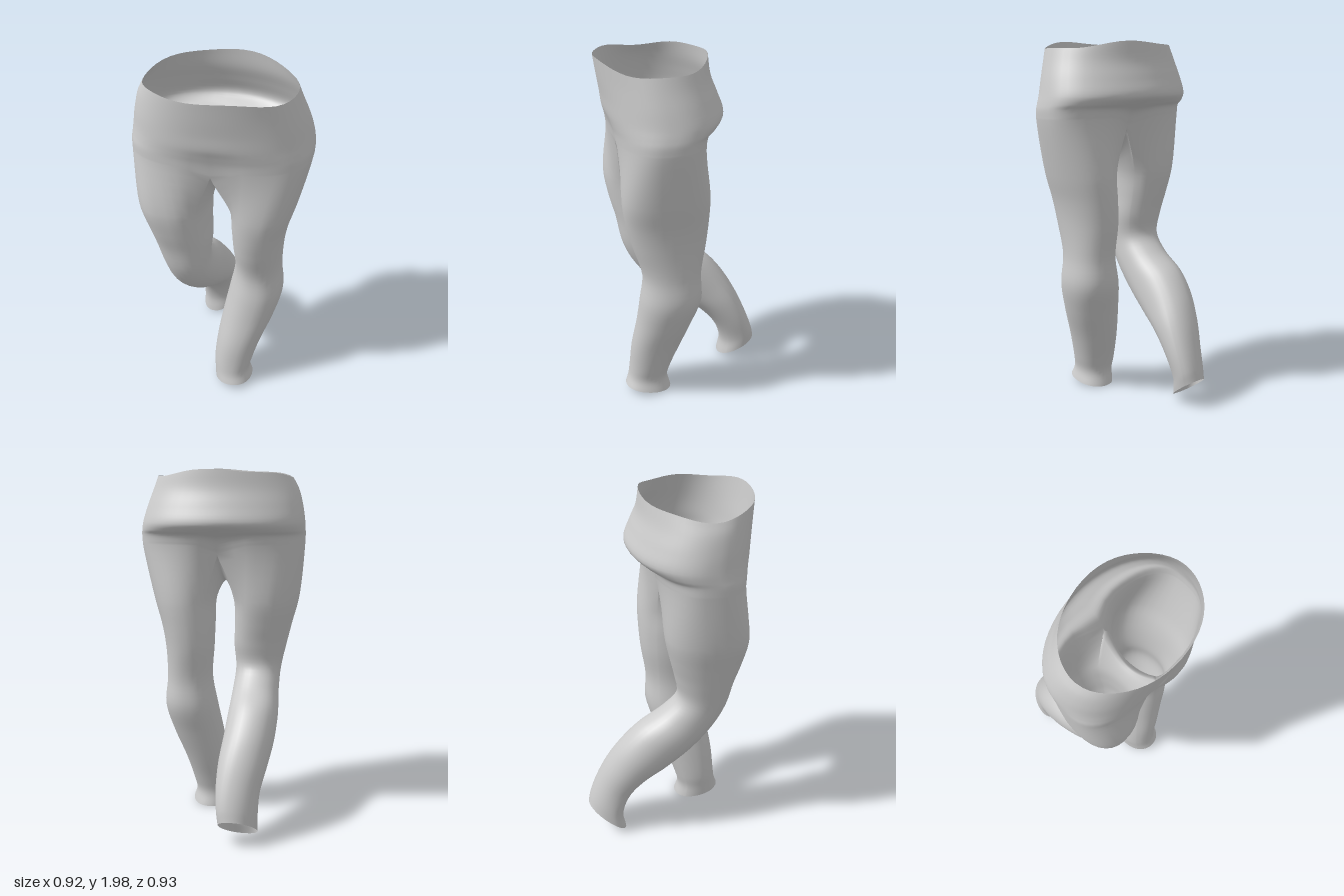
import * as THREE from 'three';
import { mergeGeometries, mergeVertices } from 'three/addons/utils/BufferGeometryUtils.js';

const HALF = 24, N = HALF * 2, STEPS = 5;
const V = (x, y, z) => new THREE.Vector3(x, y, z);
const spow = (v, e) => Math.sign(v) * Math.abs(v) ** e;

// Cross-section: [xMin, xMax, zFront, yFront, zBack, yBack, skew, frontPower, backPower]
// skew slides the back towards +x, a lower power makes that half squarer
const torso = [
  [-0.39, 0.368, 0.465, 1.972, -0.113, 1.972, 0, 1, 1],
  [-0.42, 0.39, 0.45, 1.89, -0.127, 1.89, 0, 0.96, 0.98],
  [-0.445, 0.42, 0.435, 1.80, -0.16, 1.80, 0.01, 0.9, 0.98],
  [-0.458, 0.443, 0.424, 1.72, -0.187, 1.71, 0.02, 0.85, 0.98],
  [-0.46, 0.452, 0.412, 1.67, -0.145, 1.67, 0.03, 0.81, 0.9],
  [-0.46, 0.455, 0.402, 1.63, -0.095, 1.645, 0.04, 0.78, 0.82],
  [-0.458, 0.452, 0.395, 1.58, -0.075, 1.59, 0.04, 0.75, 0.77],
];
const leftLeg = [
  [0.04, 0.386, 0.38, 1.28, -0.085, 1.28, 0.02, 0.88, 0.95],
  [0.047, 0.345, 0.36, 1.13, -0.085, 1.13, 0.01],
  [0.05, 0.325, 0.328, 1.00, -0.075, 1.00],
  [0.058, 0.317, 0.277, 0.82, -0.048, 0.82],
  [0.03, 0.33, 0.292, 0.66, -0.052, 0.66],
  [0.0, 0.29, 0.307, 0.50, -0.005, 0.50],
  [-0.028, 0.225, 0.332, 0.32, 0.052, 0.32],
  [-0.04, 0.183, 0.343, 0.17, 0.103, 0.17],
  [-0.035, 0.168, 0.352, 0.10, 0.122, 0.09],
  [-0.032, 0.185, 0.37, 0.05, 0.105, 0.012],
];
const rightLeg = [
  [-0.43, -0.062, 0.40, 1.28, -0.035, 1.28, 0.04, 0.82, 0.9],
  [-0.395, -0.07, 0.38, 1.13, -0.005, 1.14, 0.03, 0.88],
  [-0.365, -0.065, 0.347, 1.00, 0.025, 1.02, 0.02, 0.9],
  [-0.335, -0.075, 0.315, 0.84, 0.04, 0.90],
  [-0.327, -0.065, 0.25, 0.71, -0.04, 0.81],
  [-0.33, -0.05, 0.13, 0.57, -0.18, 0.715],
  [-0.315, -0.035, -0.01, 0.455, -0.28, 0.60, 0.01],
  [-0.285, -0.02, -0.13, 0.37, -0.355, 0.47, 0.03],
  [-0.247, -0.018, -0.23, 0.25, -0.415, 0.33, 0.05],
  [-0.235, -0.03, -0.275, 0.12, -0.45, 0.23, 0.07],
  [-0.235, -0.04, -0.26, 0.02, -0.465, 0.17, 0.07],
];

// Point of a cross-section; angle 0 is the front, positive angles go to +x
function sectionPoint([x0, x1, zf, yf, zb, yb, skew = 0, front = 0.93, back = front], angle) {
  const power = Math.cos(angle) > 0 ? front : back;
  const s = spow(Math.sin(angle), power), f = (1 + spow(Math.cos(angle), power)) / 2;
  return V((x0 + x1) / 2 + (x1 - x0) / 2 * s + skew * (0.5 - f), yb + (yf - yb) * f, zb + (zf - zb) * f);
}

function torsoPoint(row, angle) {
  const p = sectionPoint(torso[row], angle);
  if (row === 0) p.y += 0.02 * Math.cos(2 * angle) + 0.006 * Math.sin(5 * angle); // wavy waistband
  // crease at the centre, deeper at the back
  const depth = Math.max(0, row - 3) / 3, crease = Math.exp(-((p.x / 0.09) ** 2)) * depth;
  p.z += crease * (Math.cos(angle) > 0 ? -0.03 : 0.06);
  p.y -= 0.05 * crease * depth;
  return p;
}

// Smooth rows through the points of one column, from the knot called first
function column(points, first) {
  const curve = new THREE.CatmullRomCurve3(points), n = points.length - 1, out = [];
  for (let i = first * STEPS; i <= n * STEPS; i++) out.push(curve.getPoint(i / (n * STEPS)));
  return out;
}

// Closed surface through columns of equal length
function skin(columns, flip) {
  const rows = columns[0].length, pos = [], index = [];
  for (const c of columns) for (const p of c) pos.push(p.x, p.y, p.z);
  for (let k = 0; k < columns.length; k++) {
    const next = (k + 1) % columns.length;
    for (let r = 0; r < rows - 1; r++) {
      const a = k * rows + r, b = next * rows + r;
      if (flip) index.push(a, b, a + 1, b, b + 1, a + 1);
      else index.push(a, a + 1, b, b, a + 1, b + 1);
    }
  }
  const g = new THREE.BufferGeometry();
  g.setAttribute('position', new THREE.Float32BufferAttribute(pos, 3));
  g.setIndex(index);
  return g;
}

function pelvisGeometry() {
  const columns = [];
  for (let k = 0; k < N; k++) {
    const angle = k / N * Math.PI * 2;
    columns.push(column(torso.map((_, r) => torsoPoint(r, angle)), 0));
  }
  return skin(columns, false);
}

// The top of a leg is half of the last torso ring, closed by the crotch saddle
function legGeometry(sections, side) {
  const last = torso.length - 1, columns = [];
  const front = torsoPoint(last, 0), back = torsoPoint(last, Math.PI);
  const spread = THREE.MathUtils.degToRad(50);
  for (let k = 0; k < N; k++) {
    const points = [];
    let angle;
    if (k <= HALF) {
      const t = k / HALF;
      points.push(torsoPoint(last - 1, side * t * Math.PI), torsoPoint(last, side * t * Math.PI));
      angle = -spread + t * (Math.PI + 2 * spread);
    } else {
      const t = (k - HALF) / HALF;
      const p = back.clone().lerp(front, t);
      p.y -= 0.16 * Math.sin(t * Math.PI);
      p.x -= 0.012 * Math.sin(t * Math.PI);
      points.push(p.clone().add(V(-side * 0.06, 0.01, 0)), p);
      angle = Math.PI + spread + t * (Math.PI - 2 * spread);
    }
    for (const s of sections) points.push(sectionPoint(s, side * angle));
    columns.push(column(points, 1));
  }
  return skin(columns, side < 0);
}

export function createModel() {
  const group = new THREE.Group();
  group.name = 'trousers';
  const material = new THREE.MeshStandardMaterial({ color: 0xcccccc, side: THREE.DoubleSide });
  const parts = [
    ['pelvis', pelvisGeometry()],
    ['leftLeg', legGeometry(leftLeg, 1)],
    ['rightLeg', legGeometry(rightLeg, -1)],
  ];
  // Weld the parts so that shading runs smoothly over the seams
  const whole = mergeVertices(mergeGeometries(parts.map((p) => p[1])), 1e-4);
  whole.computeVertexNormals();
  const index = Array.from(whole.index.array);
  let start = 0;
  for (const [name, part] of parts) {
    const g = new THREE.BufferGeometry();
    g.setAttribute('position', whole.attributes.position);
    g.setAttribute('normal', whole.attributes.normal);
    g.setIndex(index.slice(start, start + part.index.count));
    start += part.index.count;
    const mesh = new THREE.Mesh(g, material);
    mesh.name = name;
    group.add(mesh);
  }
  return group;
}
